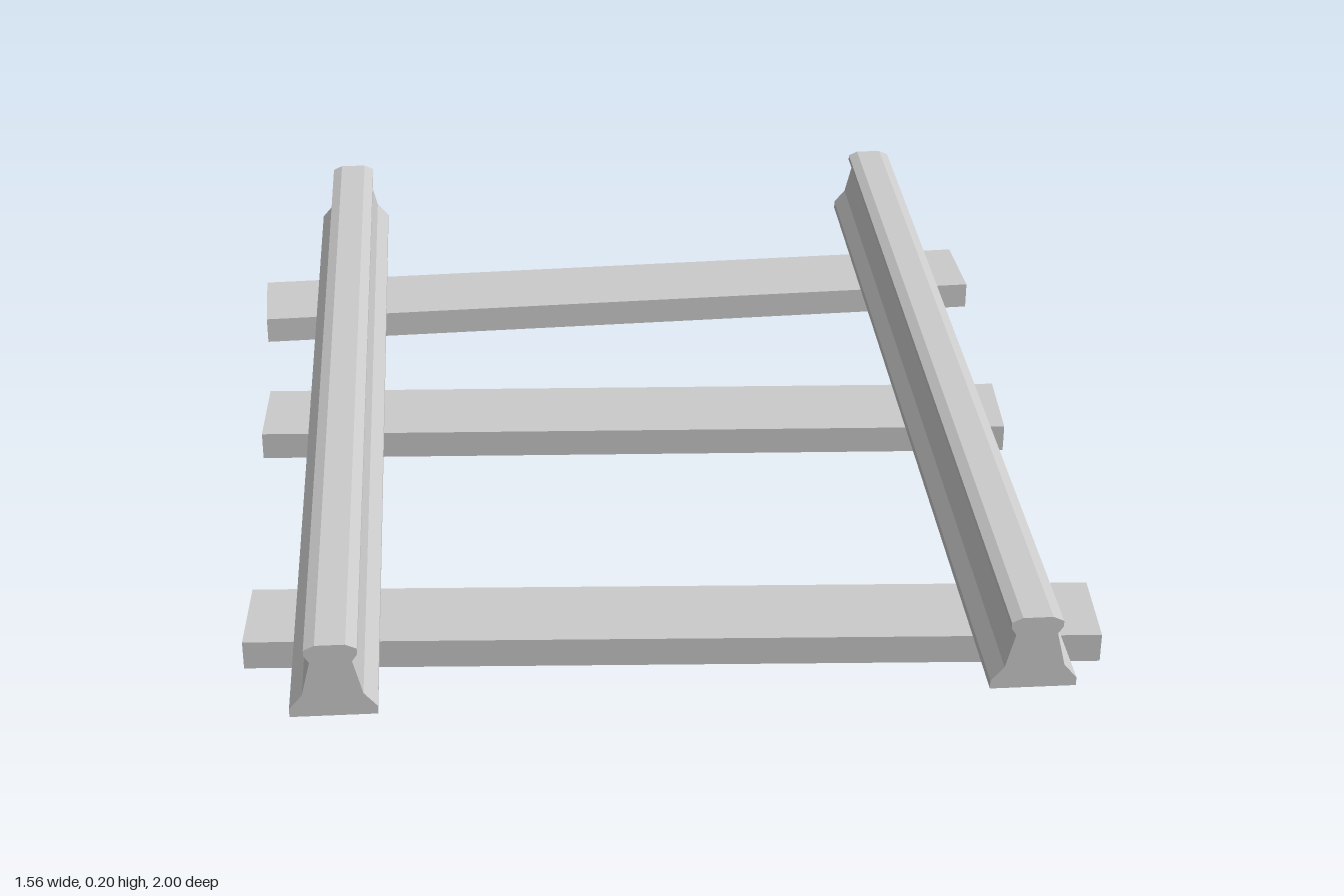
import * as THREE from 'three';

export function createModel() {
  const group = new THREE.Group();
  group.name = 'railTrack';
  const material = new THREE.MeshStandardMaterial({ color: 0xcccccc, flatShading: true });
  const sleeperHeight = 0.055;

  // Rail cross-section: right half from foot to head, then mirrored
  const half = [
    [0.075, 0.055], [0.075, 0.071], [0.052, 0.098], [0.036, 0.163],
    [0.045, 0.177], [0.045, 0.188], [0.026, 0.197],
  ];
  const outline = [...half, ...half.map(([x, y]) => [-x, y]).reverse()];
  const profile = new THREE.Shape(outline.map(([x, y]) => new THREE.Vector2(x, y)));
  const railGeometry = new THREE.ExtrudeGeometry(profile, { depth: 2, bevelEnabled: false });
  railGeometry.translate(0, 0, -1);

  // Two parallel rails
  for (const [name, x] of [['rightRail', -0.59], ['leftRail', 0.61]]) {
    const rail = new THREE.Mesh(railGeometry, material);
    rail.name = name;
    rail.position.x = x;
    group.add(rail);
  }

  // Slightly crooked sleepers: centre x, centre z, length, width, turn
  const sleepers = [
    ['backSleeper', -0.004, -0.629, 1.55, 0.183, 0.041],
    ['middleSleeper', -0.008, -0.046, 1.497, 0.183, -0.049],
    ['frontSleeper', 0.008, 0.72, 1.525, 0.174, -0.055],
  ];
  for (const [name, x, z, length, width, turn] of sleepers) {
    const sleeper = new THREE.Mesh(new THREE.BoxGeometry(length, sleeperHeight, width), material);
    sleeper.name = name;
    sleeper.position.set(x, sleeperHeight / 2, z);
    sleeper.rotation.y = turn;
    group.add(sleeper);
  }
  return group;
}
